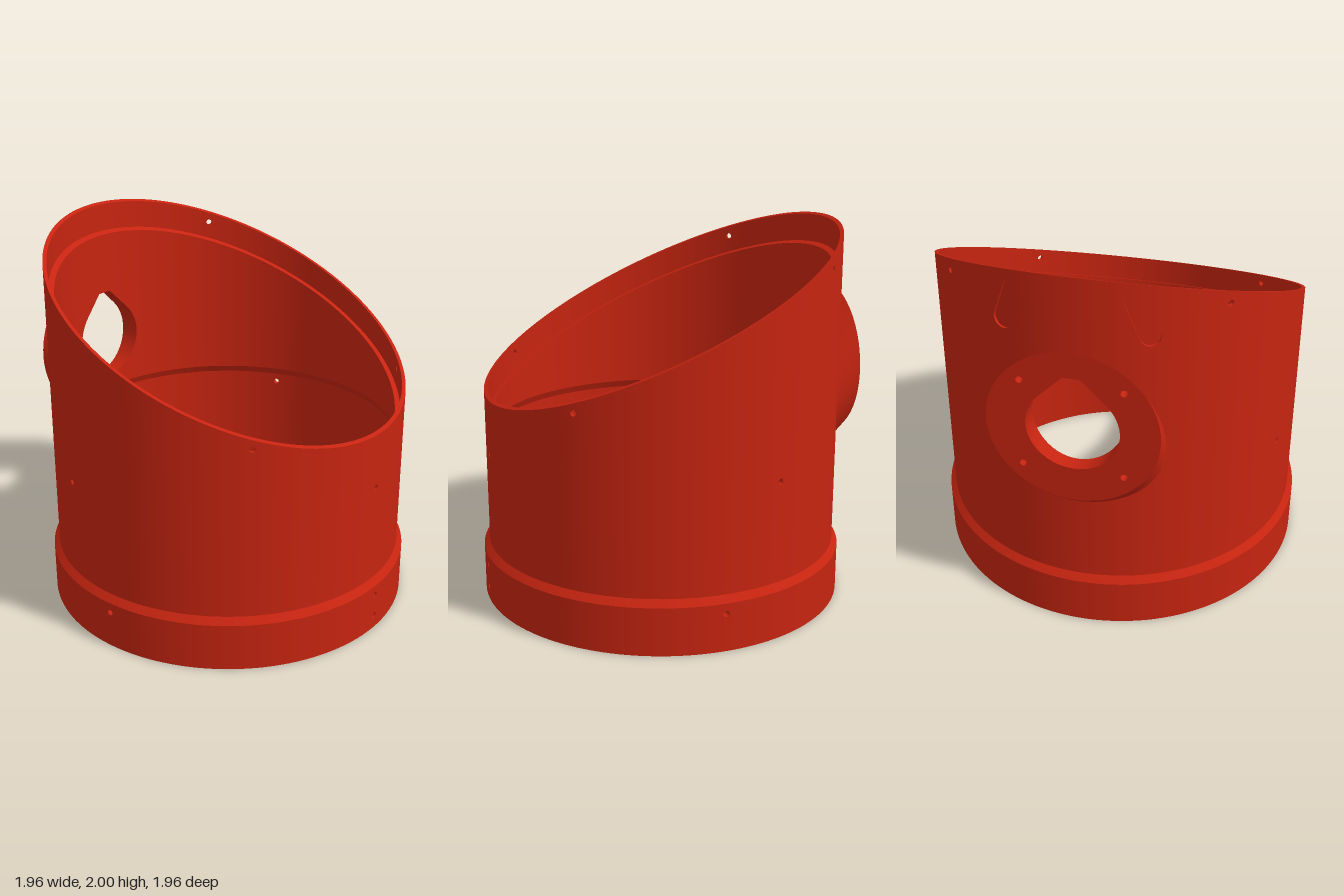
import * as THREE from 'three';
import { toCreasedNormals, mergeGeometries } from 'three/addons/utils/BufferGeometryUtils.js';

const N = 144, START = -1.2, STEP = (Math.PI * 2) / N;
const OUTER = 0.95, LIP = 0.93, INNER = 0.9, LOWER = 0.92, COLLAR = 0.98;
const BOSS_Y = 1.21, FACE_Z = -0.98;
const V2 = (x, y) => new THREE.Vector2(x, y);
const slant = (base, r) => (a) => base - 0.465 * r * Math.cos(a); // tilted plane, high at the back
const flat = (y) => () => y;
const onWall = (r) => (p) => new THREE.Vector3(r * Math.sin(p.x), p.y, r * Math.cos(p.x));

// Closed band of quads between two matching loops of points
function strip(a, b) {
  const n = a.length, index = [];
  for (let i = 0; i < n; i++) {
    const j = (i + 1) % n;
    index.push(i, j, n + i, j, n + j, n + i);
  }
  const g = new THREE.BufferGeometry().setFromPoints([...a, ...b]);
  g.setIndex(index);
  g.computeVertexNormals();
  return toCreasedNormals(g, 0.5);
}

function ringLoop(r, height) {
  return Array.from({ length: N }, (_, i) => {
    const a = START + i * STEP;
    return onWall(r)(V2(a, height(a)));
  });
}
const ring = (r0, h0, r1, h1) => strip(ringLoop(r0, h0), ringLoop(r1, h1));

// Keep the part of a polygon on one side of a vertical line
function clip(poly, u, side) {
  const out = [];
  poly.forEach((p, i) => {
    const q = poly[(i + 1) % poly.length];
    const dp = (p.x - u) * side, dq = (q.x - u) * side;
    if (dp >= 0) out.push(p);
    if ((dp > 0 && dq < 0) || (dp < 0 && dq > 0)) out.push(V2(u, p.y + (q.y - p.y) * dp / (dp - dq)));
  });
  return out;
}

// Roll a flat (angle, height) outline with holes around the axis
function wrap(outline, holes, r, inside = false) {
  const all = [outline, ...holes].flat(), pos = [], nor = [], place = onWall(r), s = inside ? -1 : 1;
  for (const f of THREE.ShapeUtils.triangulateShape(outline, holes)) {
    let tri = f.map((i) => all[i]);
    if (THREE.ShapeUtils.area(tri) * s < 0) tri.reverse();
    const us = tri.map((p) => (p.x - START) / STEP);
    const last = Math.ceil(Math.max(...us) - 1e-6);
    for (let k = Math.floor(Math.min(...us) + 1e-6); k < last; k++) {
      const part = clip(clip(tri, START + k * STEP, 1), START + (k + 1) * STEP, -1);
      for (let i = 1; i + 1 < part.length; i++) {
        for (const p of [part[0], part[i], part[i + 1]]) {
          pos.push(...place(p).toArray());
          nor.push(s * Math.sin(p.x), 0, s * Math.cos(p.x));
        }
      }
    }
  }
  const g = new THREE.BufferGeometry();
  g.setAttribute('position', new THREE.Float32BufferAttribute(pos, 3));
  g.setAttribute('normal', new THREE.Float32BufferAttribute(nor, 3));
  return g;
}

function wall(r, low, high, holes, inside) {
  const bottom = [], top = [];
  for (let i = 0; i <= N; i++) {
    const a = START + i * STEP;
    bottom.push(V2(a, low(a)));
    top.unshift(V2(a, high(a)));
  }
  return wrap([...bottom, ...top], holes, r, inside);
}

// Outlines
function circle(cx, cy, rx, ry = rx, n = 16) {
  return Array.from({ length: n }, (_, i) => {
    const a = (i / n) * Math.PI * 2;
    return V2(cx + rx * Math.cos(a), cy + ry * Math.sin(a));
  });
}
const screwHole = ([deg, y]) => circle(THREE.MathUtils.degToRad(deg), y, 0.016 / OUTER, 0.016);

function teardrop() {
  const pts = [], R = 0.23;
  for (let i = 0; i <= 40; i++) {
    const a = Math.PI * (0.75 + (1.5 * i) / 40);
    pts.push(V2(R * Math.cos(a), BOSS_Y + R * Math.sin(a)));
  }
  return [...pts, V2(0.042, BOSS_Y + 0.283), V2(-0.042, BOSS_Y + 0.283)];
}
const onBack = (r) => (p) => V2(Math.PI - Math.asin(p.x / r), p.y);

// Splayed rounded slot, on either side of the back
function slot(side) {
  const top = V2(0.284, 1.9), low = V2(0.358, 1.71), R = 0.05;
  const tilt = Math.atan2(top.y - low.y, top.x - low.x) - Math.PI / 2;
  const pts = [];
  for (let i = 0; i < 26; i++) {
    const a = tilt + Math.PI * (i < 13 ? i / 12 : 1 + (i - 13) / 12);
    const c = i < 13 ? top : low;
    pts.push(V2(Math.PI - side * (c.x + R * Math.cos(a)) / OUTER, c.y + R * Math.sin(a)));
  }
  return pts;
}

export function createModel() {
  const model = new THREE.Group();
  const red = new THREE.MeshStandardMaterial({ color: 0xc62410, side: THREE.DoubleSide });
  red.name = 'red';
  const add = (name, ...geos) => {
    const mesh = new THREE.Mesh(geos.length > 1 ? mergeGeometries(geos) : geos[0], red);
    mesh.name = name;
    model.add(mesh);
  };

  const rimHoles = [[45, 1.2], [-45, 1.2], [135, 1.81], [225, 1.81]].map(screwHole);
  const bodyHoles = [[0, 0.82], [109, 0.82], [251, 0.82]].map(screwHole);
  const collarHoles = [[0, 0.2], [0, 0.075], [90, 0.2], [270, 0.2]].map(screwHole);
  const slots = [slot(1), slot(-1)];
  const bore = teardrop();
  const tunnel = (r0, r1) => (h) => strip(h.map(onWall(r0)), h.map(onWall(r1)));

  // Main tube with its slanted top
  add('outerWall', wall(OUTER, flat(0.29), slant(1.56, OUTER),
    [...rimHoles, ...bodyHoles, ...slots, bore.map(onBack(OUTER))]));
  add('topRim', ring(OUTER, slant(1.56, OUTER), LIP, slant(1.56, LIP)));
  add('lipInnerWall', wall(LIP, slant(1.41, LIP), slant(1.56, LIP), rimHoles, true));
  add('lipLedge', ring(LIP, slant(1.41, LIP), INNER, slant(1.41, INNER)));
  add('innerWall', wall(INNER, flat(0.91), slant(1.41, INNER), [bore.map(onBack(INNER))], true));
  add('innerStep', ring(INNER, flat(0.91), LOWER, flat(0.87)));
  add('lowerInnerWall', wall(LOWER, flat(0), flat(0.87), [...bodyHoles, ...collarHoles], true));

  // Base collar
  add('collar', wall(COLLAR, flat(0), flat(0.255), collarHoles));
  add('collarChamfer', ring(COLLAR, flat(0.255), OUTER, flat(0.29)));
  add('bottomRim', ring(LOWER, flat(0), COLLAR, flat(0)));

  // Screw hole linings and shallow slots
  add('screwHoles', ...rimHoles.map(tunnel(OUTER, LIP)), ...bodyHoles.map(tunnel(OUTER, LOWER)),
    ...collarHoles.map(tunnel(COLLAR, LOWER)));
  add('slotSides', ...slots.map(tunnel(OUTER, 0.938)));
  add('slotFloors', ...slots.map((s) => wrap(s, [], 0.938)));

  // Round mounting boss on the back, its sides sloping down into the tube
  const edge = circle(0, BOSS_Y, 0.425, 0.42, 72);
  const screws = [[1, 1], [1, -1], [-1, 1], [-1, -1]].map(([x, y]) => circle(x * 0.25, BOSS_Y + y * 0.24, 0.018));
  const face = new THREE.Shape(edge);
  face.holes = [bore, ...screws].map((h) => new THREE.Path(h));
  add('bossFace', new THREE.ShapeGeometry(face).rotateY(Math.PI).translate(0, 0, FACE_Z));
  const atFace = (p) => new THREE.Vector3(p.x, p.y, FACE_Z);
  const toRadius = (r, slope) => (p) => {
    const z = -Math.sqrt(r * r - p.x * p.x);
    return new THREE.Vector3(p.x, p.y - slope * (z - FACE_Z), z);
  };
  add('bossSide', strip(edge.map(toRadius(0.945, 1)), edge.map(atFace)));
  add('boreLining', strip(bore.map(atFace), bore.map(toRadius(INNER, 0))));
  add('bossScrewHoles', ...screws.map((h) => strip(h.map(atFace), h.map(toRadius(0.945, 0)))));
  return model;
}
